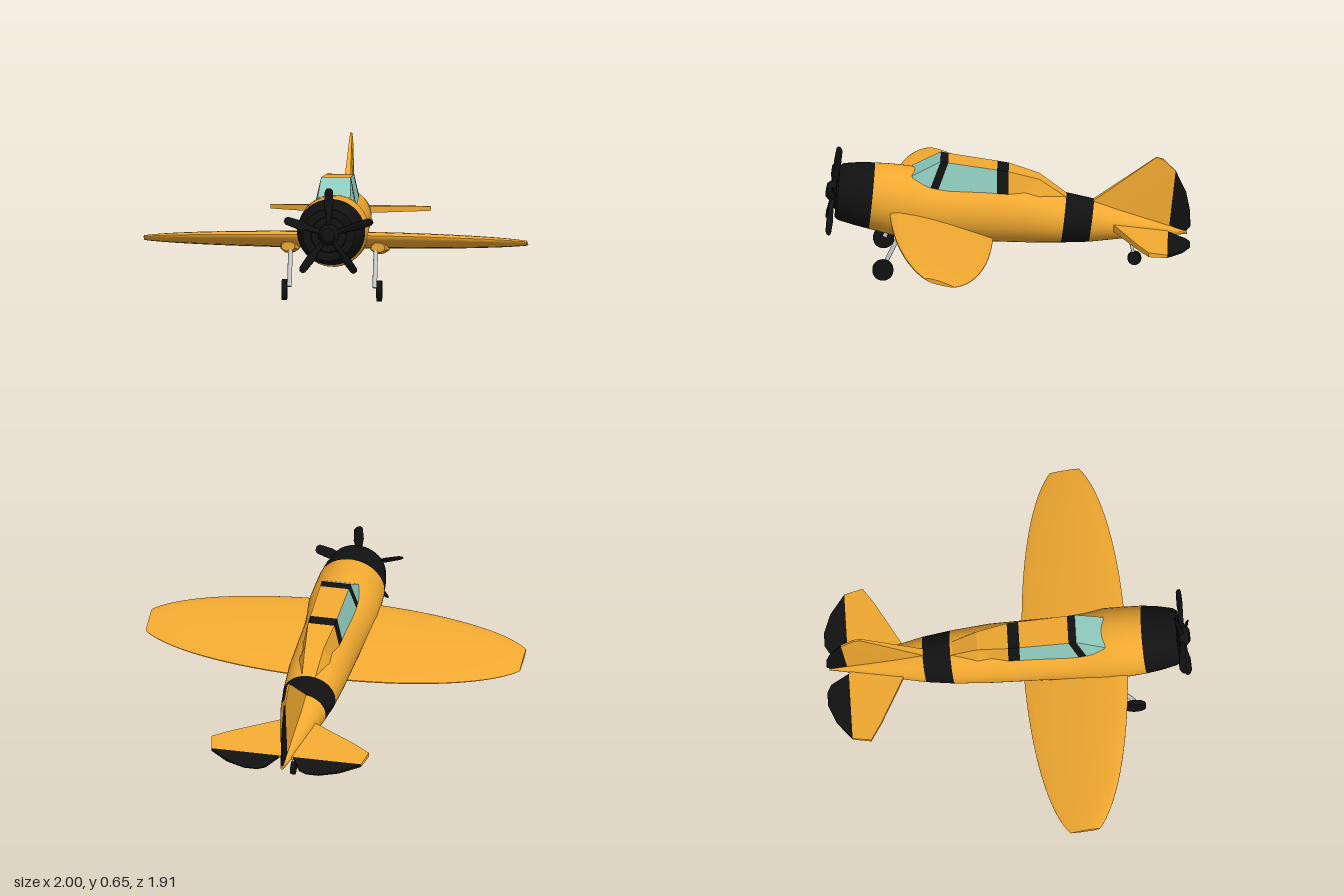
import * as THREE from 'three';
import { toCreasedNormals } from 'three/addons/utils/BufferGeometryUtils.js';

const mat = (color) => new THREE.MeshStandardMaterial({ color, side: THREE.DoubleSide });
const yellow = mat(0xf0a830), black = mat(0x111111), glass = mat(0x8fcabd), grey = mat(0xcccccc);
const V = (x, y, z) => new THREE.Vector3(x, y, z);

function add(parent, name, geometry, material) {
  const mesh = new THREE.Mesh(geometry, material);
  mesh.name = name;
  parent.add(mesh);
  return mesh;
}

// Skin over closed rings, capped at both ends
function loft(rings, crease = 0.7) {
  const n = rings[0].length, pos = [], idx = [];
  rings.forEach((r) => r.forEach((p) => pos.push(p.x, p.y, p.z)));
  for (let i = 0; i < rings.length - 1; i++) {
    for (let j = 0; j < n; j++) {
      const a = i * n + j, b = i * n + (j + 1) % n;
      idx.push(a, a + n, b, b, a + n, b + n);
    }
  }
  [0, rings.length - 1].forEach((e, k) => {
    const c = rings[e].reduce((s, p) => s.add(p), V(0, 0, 0)).divideScalar(n);
    const ci = pos.length / 3;
    pos.push(c.x, c.y, c.z);
    for (let j = 0; j < n; j++) {
      const a = e * n + j, b = e * n + (j + 1) % n;
      idx.push(ci, k ? b : a, k ? a : b);
    }
  });
  const g = new THREE.BufferGeometry();
  g.setAttribute('position', new THREE.Float32BufferAttribute(pos, 3));
  g.setIndex(idx);
  return toCreasedNormals(g, crease);
}

const ring = (n, f) => Array.from({ length: n }, (_, j) => {
  const a = (j + 0.5) / n * Math.PI * 2;
  return f(Math.cos(a), Math.sin(a));
});

// Fuselage ring: z, bottom, top, half width, backward lean
const hull = ([z, y0, y1, w, lean = 0]) => ring(40, (c, s) => {
  const h = (y1 - y0) / 2;
  return V(w * c, (y0 + y1) / 2 + h * s, z - lean * h * s);
});

// Flat outline extruded by one unit, its thickness then set by a rule
function slab(points, place, thickness) {
  const shape = new THREE.Shape(points.map(([x, y]) => new THREE.Vector2(x, y)));
  const g = new THREE.ExtrudeGeometry(shape, { depth: 1, bevelEnabled: false });
  const p = g.attributes.position;
  for (let i = 0; i < p.count; i++) {
    const x = p.getX(i), y = p.getY(i);
    p.setXYZ(i, ...place(x, y, (p.getZ(i) - 0.5) * thickness(x, y)));
  }
  g.computeVertexNormals();
  return g;
}

function rod(parent, name, a, b, r, material) {
  const m = add(parent, name, new THREE.CylinderGeometry(r, r, a.distanceTo(b), 12), material);
  m.position.copy(a).lerp(b, 0.5);
  m.quaternion.setFromUnitVectors(V(0, 1, 0), b.clone().sub(a).normalize());
}

function wheel(parent, name, x, z, r, width) {
  const m = add(parent, name, new THREE.CylinderGeometry(r, r, width, 28), black);
  m.rotation.z = Math.PI / 2;
  m.position.set(x, r, z);
}

function buildFuselage(g) {
  const firewall = [0.705, 0.205, 0.55, 0.178, 0.1];
  const bandFront = [-0.295, 0.13, 0.39, 0.14, 0.12], bandBack = [-0.44, 0.133, 0.357, 0.12, 0.13];
  const parts = [
    ['cowling', black, [[0.885, 0.265, 0.535, 0.135, 0.1], [0.865, 0.25, 0.548, 0.149, 0.1],
      [0.78, 0.225, 0.553, 0.168, 0.1], firewall]],
    ['fuselage', yellow, [firewall, [0.6, 0.17, 0.545, 0.183], [0.5, 0.155, 0.533, 0.185], [0.4, 0.15, 0.495, 0.172],
      [0.3, 0.145, 0.48, 0.163], [0.1, 0.135, 0.468, 0.158], [-0.1, 0.13, 0.445, 0.154], bandFront]],
    ['tailBand', black, [bandFront, bandBack]],
    ['tailCone', yellow, [bandBack, [-0.6, 0.15, 0.304, 0.087], [-0.8, 0.163, 0.235, 0.038], [-0.94, 0.17, 0.185, 0.008]]],
  ];
  parts.forEach(([name, m, rows]) => add(g, name, loft(rows.map(hull)), m));
}

function buildCanopy(g) {
  // Base z, y, half width, then roof z, y, half width
  const rows = [
    [0.46, 0.44, 0.11, 0.495, 0.517, 0.085], [0.42, 0.4, 0.117, 0.345, 0.595, 0.077],
    [0.375, 0.4, 0.117, 0.305, 0.587, 0.076], [0.05, 0.36, 0.113, 0.05, 0.547, 0.072],
    [-0.01, 0.35, 0.112, -0.01, 0.537, 0.07], [-0.17, 0.34, 0.105, -0.17, 0.488, 0.05],
    [-0.31, 0.3, 0.09, -0.31, 0.385, 0.035],
  ];
  const panels = [['windscreen', glass, glass], ['frontFrame', black, black], ['cabin', glass, yellow],
    ['rearFrame', black, black], ['spine', yellow, yellow], ['spineTail', yellow, yellow]];
  const quad = (a, b, c, d) => {
    const q = new THREE.BufferGeometry().setFromPoints([a, b, c, a, c, d]);
    q.computeVertexNormals();
    return q;
  };
  const low = (r, s) => V(s * r[2], r[1], r[0]), top = (r, s) => V(s * r[5], r[4], r[3]);
  panels.forEach(([name, sideMat, roofMat], i) => {
    const f = rows[i], b = rows[i + 1];
    add(g, name + 'LeftSide', quad(low(f, 1), low(b, 1), top(b, 1), top(f, 1)), sideMat);
    add(g, name + 'RightSide', quad(low(f, -1), top(f, -1), top(b, -1), low(b, -1)), sideMat);
    add(g, name + 'Roof', quad(top(f, 1), top(b, 1), top(b, -1), top(f, -1)), roofMat);
  });
}

function buildWing(g) {
  // Elliptical plan, pitched nose-up, with a square tip
  const rings = [];
  for (let i = 0; i <= 40; i++) {
    const x = Math.sin((0.5 - i / 40) * Math.PI), e = Math.sqrt(1 - (0.96 * x) ** 2);
    rings.push(ring(28, (c, s) => {
      const dz = -0.273 * e * c;
      return V(x, 0.255 + 0.3 * dz + 0.038 * e * s * (1 - 0.35 * c), 0.342 + dz);
    }));
  }
  add(g, 'wing', loft(rings, 0.9), yellow);
}

function buildTail(g) {
  // Tailplanes: outline in x and distance aft
  const stab = [[0.0, 0.53], [0.09, 0.555], [0.33, 0.685], [0.42, 0.743], [0.4, 0.84], [0.0, 0.84]];
  const elevator = [[0.04, 0.84], [0.4, 0.84], [0.3, 0.918], [0.2, 0.957], [0.13, 0.957], [0.09, 0.935]];
  const thick = (x, aft) => 0.006 + 0.032 * (0.96 - aft) / 0.4;
  [['left', 1], ['right', -1]].forEach(([side, s]) => {
    [['Tailplane', stab, yellow], ['Elevator', elevator, black]].forEach(([name, pts, m]) => {
      const flat = (x, aft, d) => [s * x, 0.235 - 0.16 * (aft - 0.55) + d, aft];
      // Turn the outline so that aft becomes -z
      const geo = slab(pts, (x, aft, d) => { const p = flat(x, aft, d); return [p[0], p[1], -p[2]]; }, thick);
      if (s < 0) {
        const p = geo.attributes.position;
        for (let i = 0; i < p.count; i += 3) {
          const a = V().fromBufferAttribute(p, i), b = V().fromBufferAttribute(p, i + 1);
          p.setXYZ(i, b.x, b.y, b.z);
          p.setXYZ(i + 1, a.x, a.y, a.z);
        }
        geo.computeVertexNormals();
      }
      add(g, side + name, geo, m);
    });
  });
  // Fin and rudder: outline in distance aft and y
  const fin = [[0.44, 0.35], [0.78, 0.595], [0.815, 0.585], [0.88, 0.52], [0.845, 0.2], [0.5, 0.25]];
  const rudder = [[0.88, 0.52], [0.935, 0.4], [0.955, 0.3], [0.955, 0.21], [0.93, 0.185], [0.845, 0.22]];
  const wedge = (aft, y) => 0.006 + Math.max(0, 0.085 * (0.96 - aft) * (1 - (y - 0.2) / 0.55));
  const upright = (aft, y, d) => [d, y, -aft];
  add(g, 'fin', slab(fin, upright, wedge), yellow);
  add(g, 'rudder', slab(rudder, upright, wedge), black);
}

function buildPropeller(g) {
  const prop = new THREE.Group();
  prop.name = 'propeller';
  prop.position.set(0, 0.405, 0.905);
  prop.rotation.x = -0.14;
  g.add(prop);
  const hubProfile = [[0.1, -0.03], [0.09, -0.012], [0.055, -0.01], [0.05, 0.02], [0.035, 0.036], [0, 0.04]];
  const hub = new THREE.LatheGeometry(hubProfile.map(([x, y]) => new THREE.Vector2(x, y)), 28);
  add(prop, 'hub', toCreasedNormals(hub.rotateX(Math.PI / 2), 0.6), black);
  // Radius, half width, half thickness
  const rows = [[0.243, 0.012, 0.003], [0.23, 0.025, 0.006], [0.16, 0.029, 0.008], [0.1, 0.016, 0.011], [0.02, 0.013, 0.013]];
  const blade = loft(rows.map(([r, w, t]) => ring(12, (c, s) => V(w * c, r, -t * s))), 0.9).rotateY(0.65);
  for (let k = 0; k < 5; k++) add(prop, 'blade', blade, black).rotation.z = k * Math.PI * 0.4;
}

function buildGear(g) {
  [['left', 1], ['right', -1]].forEach(([side, s]) => {
    wheel(g, side + 'Wheel', s * 0.248, 0.645, 0.055, 0.026);
    rod(g, side + 'Strut', V(s * 0.223, 0.07, 0.64), V(s * 0.223, 0.27, 0.545), 0.012, grey);
    // Fairing under the wing: z, y, half width, half height
    const rows = [[0.565, 0.268, 0.038, 0.026], [0.5, 0.257, 0.047, 0.038], [0.32, 0.215, 0.046, 0.03], [0.2, 0.195, 0.03, 0.012]];
    add(g, side + 'GearFairing', loft(rows.map(([z, y, w, h]) => ring(8, (c, n) => V(s * 0.235 + w * c, y + h * n, z))), 0.3), yellow);
  });
  wheel(g, 'tailWheel', 0, -0.665, 0.036, 0.022);
  rod(g, 'tailStrut', V(0, 0.036, -0.665), V(0, 0.17, -0.635), 0.008, grey);
}

export function createModel() {
  const plane = new THREE.Group();
  plane.name = 'airplane';
  [buildFuselage, buildCanopy, buildWing, buildTail, buildPropeller, buildGear].forEach((build) => build(plane));
  return plane;
}
